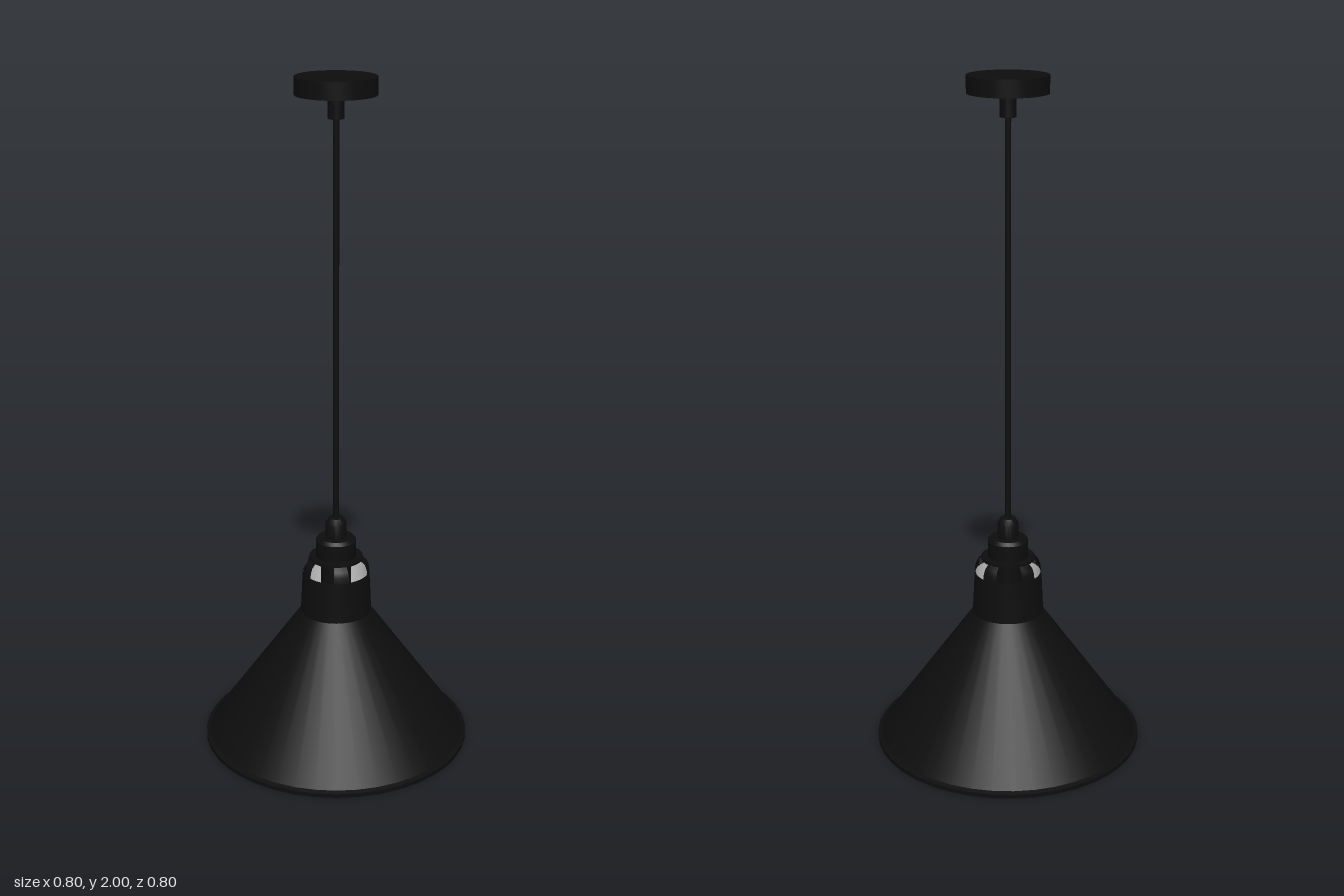
import * as THREE from 'three';
import { toCreasedNormals } from 'three/addons/utils/BufferGeometryUtils.js';

const black = new THREE.MeshStandardMaterial({ color: 0x0d0d0d });
const blackThin = new THREE.MeshStandardMaterial({ color: 0x0d0d0d, side: THREE.DoubleSide });
const lining = new THREE.MeshStandardMaterial({ color: 0xcccccc });

export function createModel() {
  const model = new THREE.Group();

  function add(name, geometry, material = black, parent = model) {
    const mesh = new THREE.Mesh(geometry, material);
    mesh.name = name;
    parent.add(mesh);
    return mesh;
  }

  // Turned part from [radius, height] pairs, sharp only at real edges
  function turned(points, segments = 40, start = 0, sweep = Math.PI * 2) {
    const profile = points.map(([r, y]) => new THREE.Vector2(r, y));
    return toCreasedNormals(new THREE.LatheGeometry(profile, segments, start, sweep), 0.5);
  }

  // Ceiling fitting
  add('ceilingCanopy', turned([[0, 1.95], [0.115, 1.95], [0.115, 2], [0, 2]]));
  add('cordGrip', turned([[0, 1.885], [0.023, 1.885], [0.023, 1.95]], 24));
  const screw = add('gripScrew', new THREE.CylinderGeometry(0.007, 0.007, 0.012, 12));
  screw.rotation.x = Math.PI / 2;
  screw.position.set(0, 1.918, 0.022);

  // Cord
  const cord = add('cord', new THREE.CylinderGeometry(0.009, 0.009, 1.22, 16));
  cord.position.y = 1.3;

  // Lamp holder above and inside the shade
  add('holderCap', turned([
    [0.06, 0.585], [0.06, 0.637], [0.052, 0.647], [0.031, 0.647],
    [0.031, 0.69], [0.022, 0.708], [0, 0.71],
  ], 32));
  add('lampSocket', turned([[0, 0.4], [0.045, 0.4], [0.045, 0.586]], 32));

  // Bulb: round globe running up into a narrow neck
  const bulbProfile = [];
  for (let i = 0; i <= 14; i++) {
    const a = -Math.PI / 2 + (i / 14) * Math.PI * 0.82;
    bulbProfile.push([0.122 * Math.cos(a), 0.26 + 0.122 * Math.sin(a)]);
  }
  bulbProfile.push([0.042, 0.385], [0.038, 0.42]);
  add('bulb', turned(bulbProfile, 32));

  // Shade: flared cone with a rolled rim and a straight neck
  const shade = new THREE.Group();
  shade.name = 'shade';
  model.add(shade);
  add('shadeShell', turned([
    [0.384, 0], [0.4, 0], [0.4, 0.012], [0.387, 0.016], [0.106, 0.41], [0.1, 0.535],
  ]), black, shade);
  add('shadeLining', turned([[0.097, 0.535], [0.102, 0.409], [0.384, 0.012], [0.384, 0]]), lining, shade);
  add('neckEdge', turned([[0.1, 0.535], [0.097, 0.535]]), blackThin, shade);

  // Vented shoulder: five curved ribs, one at the back, carrying the top plate
  const ribCount = 5, ribSweep = 0.46;
  for (let i = 0; i < ribCount; i++) {
    const angle = Math.PI + (i / ribCount) * Math.PI * 2;
    add('shoulderRib', turned([
      [0.1, 0.535], [0.098, 0.553], [0.092, 0.568], [0.079, 0.58],
    ], 4, angle - ribSweep / 2, ribSweep), blackThin, shade);
  }
  add('topPlate', turned([[0.044, 0.578], [0.08, 0.578], [0.08, 0.586], [0.044, 0.586]]), black, shade);

  return model;
}
